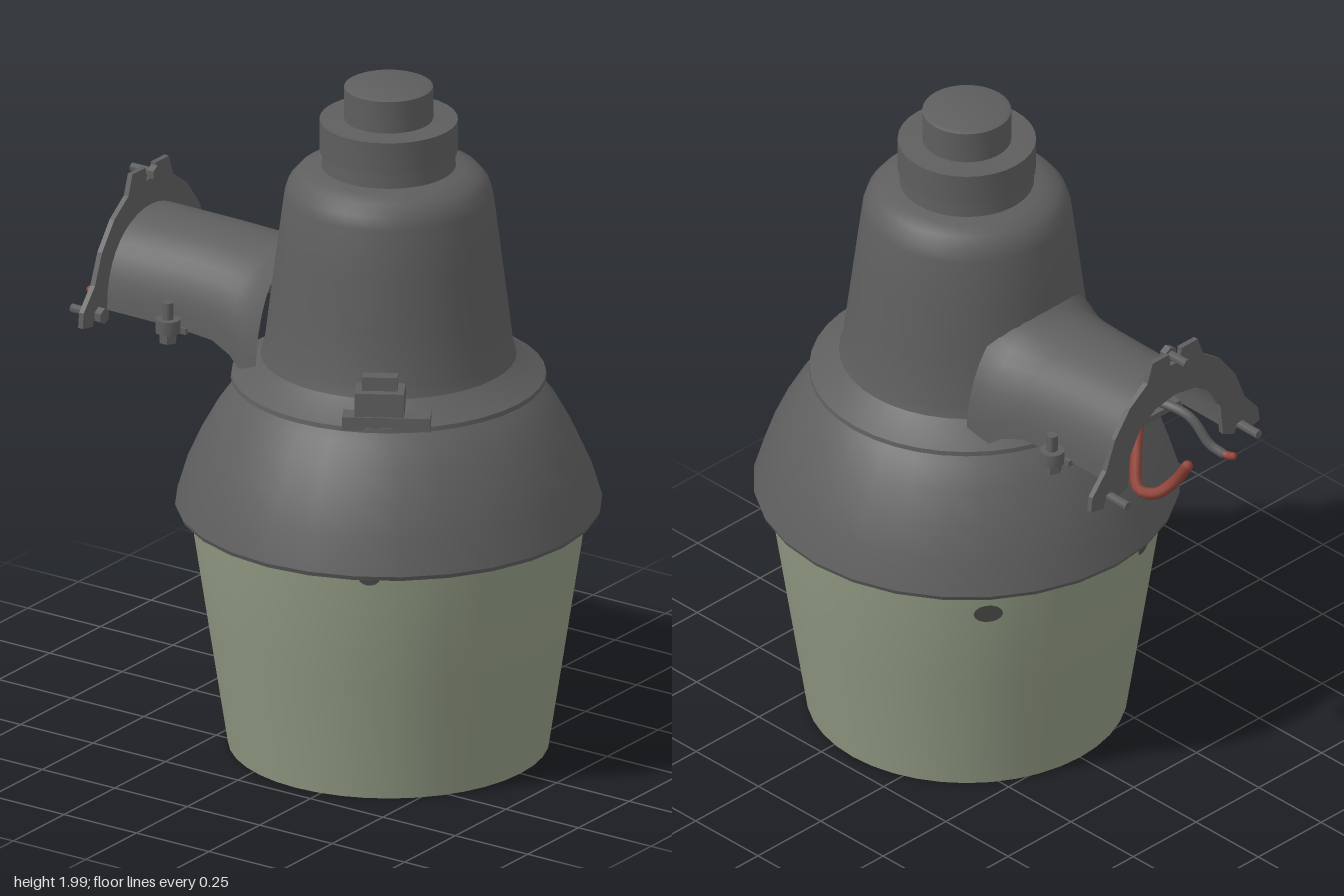
import * as THREE from 'three';
import { toCreasedNormals } from 'three/addons/utils/BufferGeometryUtils.js';

const AXIS_Z = 0.17; // centre line of the lamp body

export function createModel() {
  const model = new THREE.Group();
  model.name = 'yardLamp';
  const mat = (name, color, side = THREE.FrontSide) => {
    const m = new THREE.MeshStandardMaterial({ color, side });
    m.name = name;
    return m;
  };
  const metal = mat('greyMetal', 0x5e5e5e, THREE.DoubleSide);
  const glass = mat('greenGlass', 0x8f9881, THREE.DoubleSide);
  const red = mat('redWire', 0x8c4035);
  const dark = mat('darkSpot', 0x4c4c4a, THREE.DoubleSide);

  const add = (name, geo, material, x = 0, y = 0, z = 0, parent = model) => {
    const mesh = new THREE.Mesh(geo, material);
    mesh.name = name;
    mesh.position.set(x, y, z);
    parent.add(mesh);
    return mesh;
  };
  const lathe = (name, pts, seg, material) => add(name,
    toCreasedNormals(new THREE.LatheGeometry(pts.map(p => new THREE.Vector2(...p)), seg), 0.6),
    material, 0, 0, AXIS_Z);

  // Glass refractor, open at the bottom
  lathe('refractor', [[0.44, 0.02], [0.455, 0.01], [0.51, 0.37], [0.563, 0.72], [0.563, 0.75]], 40, glass);

  // Domed skirt with a rolled rim
  lathe('skirt', [[0.56, 0.735], [0.6, 0.727], [0.605, 0.74], [0.575, 0.84], [0.535, 0.93],
    [0.485, 1.02], [0.44, 1.08], [0.4, 1.115]], 28, metal);

  // Ballast housing with its foot flange and rounded shoulder
  lathe('housing', [[0.39, 1.112], [0.447, 1.115], [0.445, 1.128], [0.4, 1.155], [0.362, 1.185],
    [0.352, 1.22], [0.335, 1.36], [0.315, 1.52], [0.296, 1.67], [0.285, 1.705], [0.26, 1.735],
    [0.22, 1.75], [0.19, 1.757], [0.187, 1.8]], 40, metal);

  // Photocell socket ring and cap
  lathe('socketRing', [[0.18, 1.803], [0.196, 1.803], [0.196, 1.897], [0.12, 1.9]], 32, metal);
  lathe('photocellCap', [[0.126, 1.89], [0.126, 1.995], [0.115, 2], [0.001, 2]], 32, metal);

  // Arched mounting arm, lofted along z: [z, half width, bottom, top]
  const sections = [[-0.655, 0.215, 1.2, 1.452], [-0.4, 0.218, 1.2, 1.45], [-0.28, 0.228, 1.195, 1.445],
    [-0.21, 0.242, 1.17, 1.445], [-0.16, 0.255, 1.13, 1.458], [-0.1, 0.27, 1.12, 1.5]];
  const N = 20, pos = [], index = [];
  sections.forEach(([z, w, bottom, top], s) => {
    for (let i = 0; i <= N; i++) {
      const a = Math.PI * i / N;
      pos.push(w * Math.cos(a), bottom + (top - bottom) * Math.pow(Math.sin(a), 0.85), z);
      if (s && i < N) {
        const b = s * (N + 1) + i, c = b - N - 1;
        index.push(c, b, c + 1, b, b + 1, c + 1);
      }
    }
  });
  const armGeo = new THREE.BufferGeometry();
  armGeo.setAttribute('position', new THREE.Float32BufferAttribute(pos, 3));
  armGeo.setIndex(index);
  armGeo.computeVertexNormals();
  add('arm', armGeo, metal);

  // Arched end plate with feet and a slotted top tab
  const outer = [[0.235, 1.18], [0.245, 1.21], [0.275, 1.21], [0.285, 1.17], [0.335, 1.18], [0.33, 1.225],
    [0.275, 1.29], [0.24, 1.38], [0.18, 1.46], [0.11, 1.51], [0.09, 1.57], [0.025, 1.57], [0.02, 1.53]];
  const inner = [[0, 1.425], [0.08, 1.41], [0.14, 1.37], [0.18, 1.3], [0.19, 1.2]];
  const flip = pts => pts.map(([x, y]) => [-x, y]).reverse();
  const outline = [...outer, ...flip(outer), ...flip(inner), ...inner.slice(1)];
  const plate = new THREE.Shape(outline.map(p => new THREE.Vector2(...p)));
  add('endPlate', new THREE.ExtrudeGeometry(plate, { depth: 0.016, bevelEnabled: false }), metal, 0, 0, -0.667);

  // Mounting bolts through the plate
  const cyl = (r, h, seg = 10) => toCreasedNormals(new THREE.CylinderGeometry(r, r, h, seg), 0.7);
  for (const [x, y, back] of [[0, 1.55, -0.715], [-0.26, 1.2, -0.74], [0.26, 1.2, -0.74]]) {
    const front = -0.63, bolt = new THREE.Group();
    bolt.name = 'plateBolt';
    bolt.position.set(x, y, 0);
    model.add(bolt);
    add('boltShank', cyl(0.013, front - back), metal, 0, 0, (front + back) / 2, bolt).rotation.x = Math.PI / 2;
    add('boltHead', cyl(0.024, 0.022, 6), metal, 0, 0, front - 0.008, bolt).rotation.x = Math.PI / 2;
  }

  // Clamp saddle under the arm, with a bolt on each side
  add('clampSaddle', new THREE.BoxGeometry(0.46, 0.018, 0.1), metal, 0, 1.2, -0.42);
  for (const s of [-1, 1]) {
    add('clampBoss', cyl(0.036, 0.04, 12), metal, s * 0.245, 1.215, -0.42);
    add('clampBolt', cyl(0.016, 0.12), metal, s * 0.245, 1.225, -0.42);
    add('clampNut', cyl(0.027, 0.026, 6), metal, s * 0.245, 1.178, -0.42);
  }

  // Latch on the flange, turned to face outwards
  const latch = new THREE.Group();
  latch.name = 'latch';
  latch.position.set(-0.335, 0, 0.375);
  latch.rotation.y = Math.atan2(-0.335, 0.205);
  model.add(latch);
  add('latchBase', new THREE.BoxGeometry(0.25, 0.04, 0.1), metal, 0.02, 1.14, 0.0, latch);
  add('latchBlock', new THREE.BoxGeometry(0.14, 0.11, 0.09), metal, 0, 1.175, 0, latch);
  add('latchKnob', new THREE.BoxGeometry(0.1, 0.045, 0.04), metal, 0, 1.248, 0, latch);

  // Supply wires hanging out of the arm
  const wire = (name, pts, r, material) => {
    const curve = new THREE.CatmullRomCurve3(pts.map(p => new THREE.Vector3(...p)));
    add(name, new THREE.TubeGeometry(curve, 24, r, 8), material);
    for (const t of [0, 1]) {
      const end = curve.getPointAt(t);
      add(name + 'End', new THREE.SphereGeometry(r, 8, 6), material, end.x, end.y, end.z);
    }
  };
  wire('redWire', [[-0.02, 1.27, -0.5], [0.06, 1.21, -0.57], [0.13, 1.155, -0.65], [0.11, 1.155, -0.7],
    [0.07, 1.2, -0.74], [0.055, 1.255, -0.77]], 0.017, red);
  wire('greyWire', [[-0.03, 1.33, -0.5], [-0.08, 1.3, -0.64], [-0.105, 1.22, -0.7], [-0.12, 1.2, -0.735]], 0.014, metal);
  wire('redWireTip', [[-0.12, 1.2, -0.73], [-0.123, 1.2, -0.752], [-0.125, 1.205, -0.772]], 0.012, red);

  // Dark spots near the top of the glass
  for (const [dx, dz, y, r] of [[0.62, -0.78, 0.65, 0.042], [-0.31, -0.95, 0.68, 0.03], [-0.87, 0.49, 0.72, 0.03]]) {
    const wall = 0.455 + (y - 0.01) * 0.153 + 0.004;
    const spot = add('glassSpot', new THREE.CircleGeometry(r, 14), dark, dx * wall, y, AXIS_Z + dz * wall);
    spot.lookAt(dx * 2, y - 0.22, AXIS_Z + dz * 2);
    spot.scale.set(1, 0.75, 1);
  }
  return model;
}
